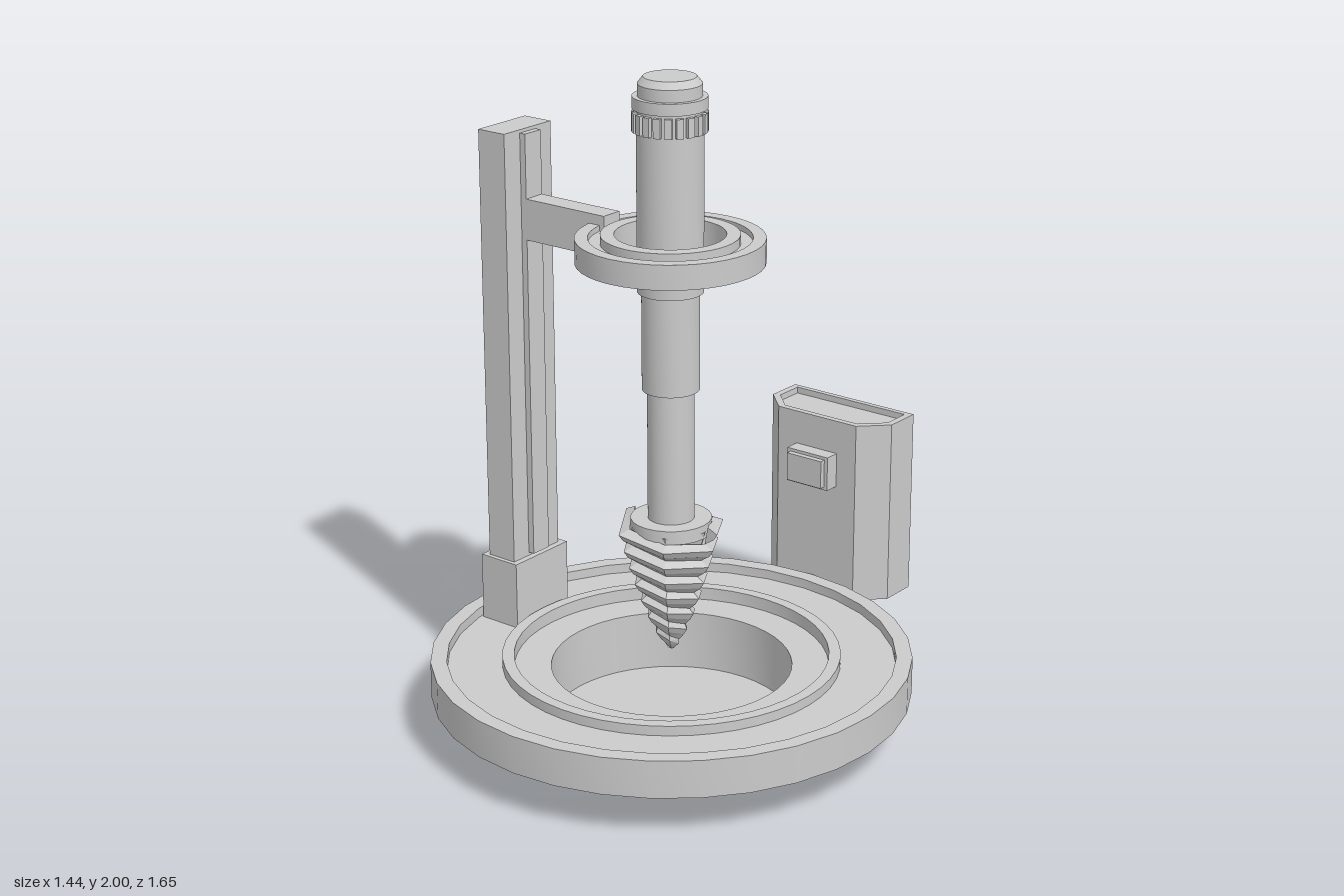
import * as THREE from 'three';
import { toCreasedNormals } from 'three/addons/utils/BufferGeometryUtils.js';

const AXIS_Z = 0.105; // the drill axis sits slightly forward of centre

export function createModel() {
  const model = new THREE.Group();
  const grey = new THREE.MeshStandardMaterial({ color: 0xcccccc });
  const facet = new THREE.MeshStandardMaterial({ color: 0xcccccc, flatShading: true, side: THREE.DoubleSide });

  const add = (name, geometry, material = grey, parent = model) => {
    const mesh = new THREE.Mesh(geometry, material);
    mesh.name = name;
    parent.add(mesh);
    return mesh;
  };
  // box given by its limits on each axis
  const box = (name, [x0, x1], [y0, y1], [z0, z1]) => {
    const mesh = add(name, new THREE.BoxGeometry(x1 - x0, y1 - y0, z1 - z0));
    mesh.position.set((x0 + x1) / 2, (y0 + y1) / 2, (z0 + z1) / 2);
  };
  // turned part around the drill axis, profile as [radius, y]
  const turned = (name, profile, sides) => {
    const points = profile.map(([r, y]) => new THREE.Vector2(r, y));
    const geometry = toCreasedNormals(new THREE.LatheGeometry(points, sides), 0.6);
    add(name, geometry).position.z = AXIS_Z;
  };

  // base: rimmed platform, with a raised collar around a deep pit
  turned('platform', [[0.36, 0.135], [0.718, 0.135], [0.718, 0.25], [0.67, 0.25], [0.67, 0.22], [0.49, 0.22]], 32);
  turned('pitCollar', [[0.505, 0.2], [0.505, 0.25], [0.47, 0.25], [0.47, 0.21], [0.36, 0.21], [0.36, 0.025], [0, 0.025]], 48);
  turned('pitHousing', [[0, 0], [0.361, 0], [0.361, 0.14]], 48);

  // telescopic drill shaft with stepped cap
  turned('shaft', [
    [0, 0.66], [0.069, 0.66], [0.069, 1.08], [0.084, 1.08], [0.084, 1.375], [0.096, 1.375],
    [0.096, 1.91], [0.107, 1.91], [0.107, 1.945], [0.092, 1.945], [0.092, 1.98], [0.076, 2], [0, 2],
  ], 32);

  // toothed grip under the cap
  const grip = new THREE.Group();
  grip.name = 'toothedGrip';
  grip.position.set(0, 1.873, AXIS_Z);
  model.add(grip);
  for (let i = 0; i < 20; i++) {
    const a = (i / 20) * Math.PI * 2;
    const tooth = add('gripTooth', new THREE.BoxGeometry(0.021, 0.056, 0.02), grey, grip);
    tooth.position.set(Math.sin(a) * 0.098, 0, Math.cos(a) * 0.098);
    tooth.rotation.y = a;
  }

  // drill bit: core with two interleaved threads
  turned('bitCollar', [[0, 0.64], [0.12, 0.64], [0.12, 0.682], [0.06, 0.682]], 24);
  for (const turn of [0, Math.PI]) {
    const thread = add('drillThread', drillThread(), facet);
    thread.position.z = AXIS_Z;
    thread.rotation.y = turn;
  }
  const core = add('drillCore', new THREE.CylinderGeometry(0.125, 0.005, 0.37, 6), facet);
  core.position.set(0, 0.475, AXIS_Z);
  core.rotation.y = Math.PI / 6;

  // guide ring with a groove on both faces
  turned('guideRing', [
    [0.16, 1.455], [0.2, 1.455], [0.2, 1.48], [0.235, 1.48], [0.235, 1.462], [0.273, 1.462],
    [0.273, 1.535], [0.235, 1.535], [0.235, 1.518], [0.2, 1.518], [0.2, 1.545], [0.16, 1.545], [0.16, 1.455],
  ], 40);

  // support column, rails and arm on the right
  box('columnFoot', [-0.65, -0.51], [0.2, 0.43], [-0.015, 0.222]);
  box('column', [-0.63, -0.53], [0.43, 1.77], [0.003, 0.208]);
  box('outerRail', [-0.65, -0.63], [0.465, 1.71], [0.08, 0.13]);
  box('innerRail', [-0.53, -0.51], [0.44, 1.76], [0.07, 0.14]);
  box('supportArm', [-0.51, -0.215], [1.44, 1.565], [0.07, 0.14]);

  // control cabinet at the back, with a shallow tray in its top
  const outline = [[-0.228, 0.705], [-0.148, 0.627], [0.148, 0.627], [0.228, 0.705], [0.228, 0.826], [-0.228, 0.826]];
  const tray = [[-0.206, 0.715], [-0.138, 0.648], [0.138, 0.648], [0.206, 0.715], [0.206, 0.808], [-0.206, 0.808]];
  const points = (list) => list.map(([x, y]) => new THREE.Vector2(x, y));
  const slab = (name, y0, y1, holes) => {
    const shape = new THREE.Shape(points(outline));
    shape.holes = holes.map((hole) => new THREE.Path(points(hole)));
    const mesh = add(name, new THREE.ExtrudeGeometry(shape, { depth: y1 - y0, bevelEnabled: false }));
    mesh.rotation.x = -Math.PI / 2;
    mesh.position.y = y0;
  };
  slab('cabinet', 0.195, 0.762, []);
  slab('cabinetRim', 0.762, 0.782, [tray]);
  box('cabinetPanel', [-0.077, 0.077], [0.565, 0.675], [-0.64, -0.578]);
  box('panelButton', [-0.065, 0.065], [0.575, 0.665], [-0.578, -0.56]);

  return model;
}

// one six-sided helical thread that narrows to a point
function drillThread() {
  const top = 0.665, tip = 0.255, pitch = 0.11, steps = 22;
  const profile = [[0.78, -0.015], [1, 0], [0.95, 0.02], [0.78, 0.04]]; // share of radius, drop
  const position = [], index = [0, 2, 1, 0, 3, 2]; // starts with the closed end
  for (let i = 0; i <= steps; i++) {
    const a = (i / 6) * Math.PI * 2 + Math.PI / 2;
    for (const [share, drop] of profile) {
      const y = Math.max(tip, top - (pitch * i) / 6 - drop);
      const r = 0.17 * share * Math.pow((y - tip) / (top - tip), 0.65);
      position.push(Math.sin(a) * r, y, Math.cos(a) * r);
    }
    if (i === steps) break;
    for (let k = 0; k < 3; k++) {
      const p = i * 4 + k, q = p + 4;
      index.push(p, p + 1, q, q, p + 1, q + 1);
    }
  }
  const geometry = new THREE.BufferGeometry();
  geometry.setAttribute('position', new THREE.Float32BufferAttribute(position, 3));
  geometry.setIndex(index);
  geometry.computeVertexNormals();
  return geometry;
}
